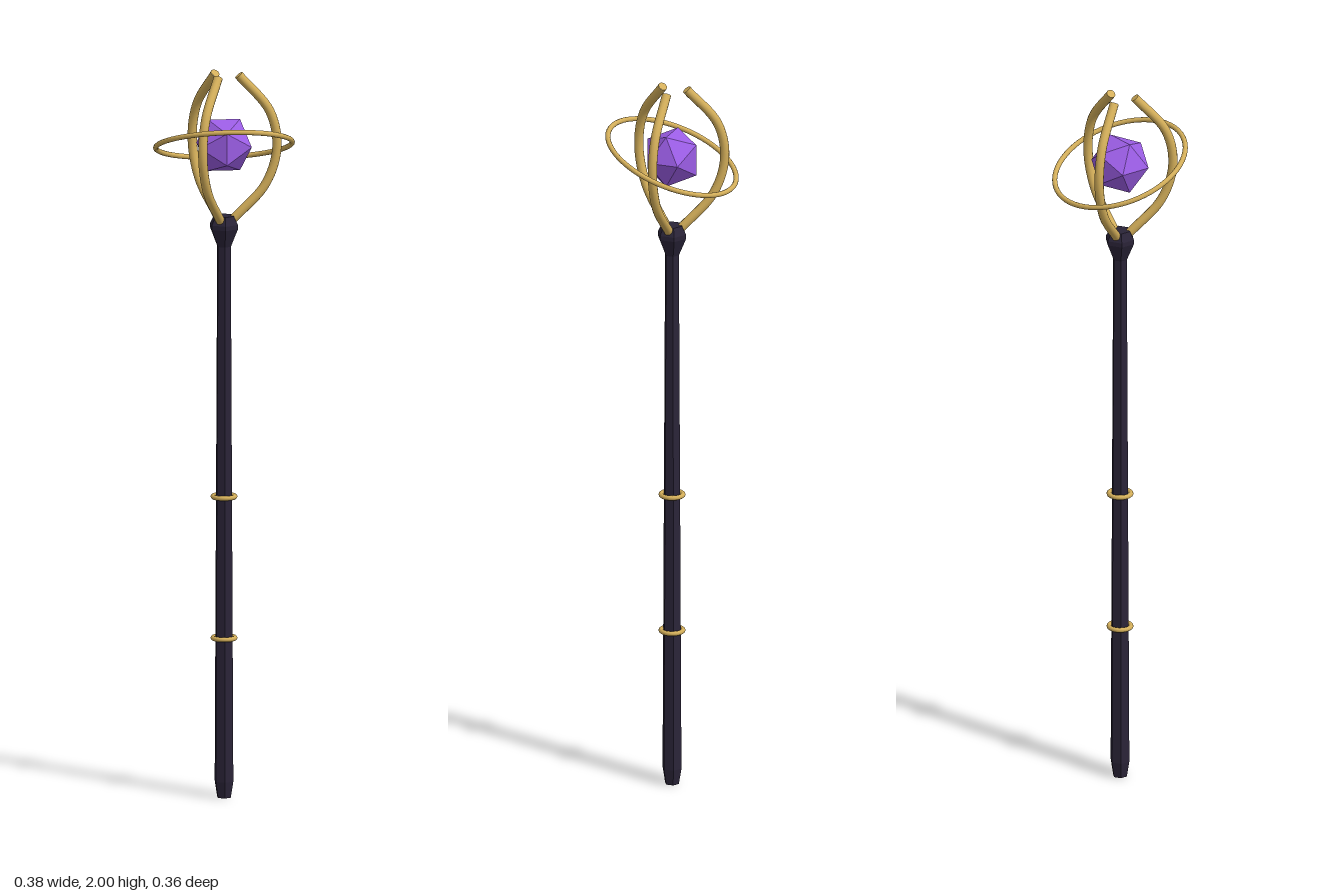
import * as THREE from 'three';

const DARK = new THREE.MeshStandardMaterial({ color: 0x2a2438, flatShading: true });
const GOLD = new THREE.MeshStandardMaterial({ color: 0xd4af5a });
const PURPLE = new THREE.MeshStandardMaterial({ color: 0x9b5de5, flatShading: true });

function part(name, geometry, material, parent) {
  const mesh = new THREE.Mesh(geometry, material);
  mesh.name = name;
  parent.add(mesh);
  return mesh;
}

const profile = (points) => points.map(([r, y]) => new THREE.Vector2(r, y));

// One curved claw in the xy plane, with closed ends
function makeProng() {
  const prong = new THREE.Group();
  const radius = 0.0125;
  const path = new THREE.CatmullRomCurve3([
    [0.025, 1.595], [0.113, 1.69], [0.144, 1.79], [0.125, 1.89], [0.04, 1.992],
  ].map(([x, y]) => new THREE.Vector3(x, y, 0)));
  part('prongBar', new THREE.TubeGeometry(path, 32, radius, 12), GOLD, prong);
  for (const end of [0, 1]) {
    const cap = part('prongCap', new THREE.CircleGeometry(radius, 12), GOLD, prong);
    const outward = path.getTangentAt(end).multiplyScalar(end ? 1 : -1);
    cap.position.copy(path.getPointAt(end));
    cap.quaternion.setFromUnitVectors(new THREE.Vector3(0, 0, 1), outward);
  }
  return prong;
}

export function createModel() {
  const staff = new THREE.Group();
  staff.name = 'staff';

  // Six-sided tapering shaft with a blunt foot
  part('shaft', new THREE.LatheGeometry(profile([
    [0, 0], [0.02, 0], [0.0275, 0.045], [0.02, 1.54],
  ]), 6), DARK, staff);

  // Flared socket that holds the claws
  part('socket', new THREE.LatheGeometry(profile([
    [0.02, 1.52], [0.041, 1.57], [0.041, 1.582], [0.029, 1.605], [0, 1.605],
  ]), 6), DARK, staff);

  // Grip bands
  for (const y of [0.44, 0.83]) {
    const band = part('gripBand', new THREE.TorusGeometry(0.03, 0.0065, 10, 32), GOLD, staff);
    band.rotation.x = Math.PI / 2;
    band.position.y = y;
  }

  // Three claws around the crystal
  for (let i = 0; i < 3; i++) {
    const prong = makeProng();
    prong.name = 'prong';
    prong.rotation.y = (i * Math.PI * 2) / 3;
    staff.add(prong);
  }

  // Crystal
  part('crystal', new THREE.IcosahedronGeometry(0.083), PURPLE, staff).position.y = 1.8;

  // Orbit ring, raised at the front
  const ring = part('orbitRing', new THREE.TorusGeometry(0.185, 0.007, 10, 64), GOLD, staff);
  ring.rotation.x = Math.PI / 2 - 0.38;
  ring.position.y = 1.8;

  return staff;
}
